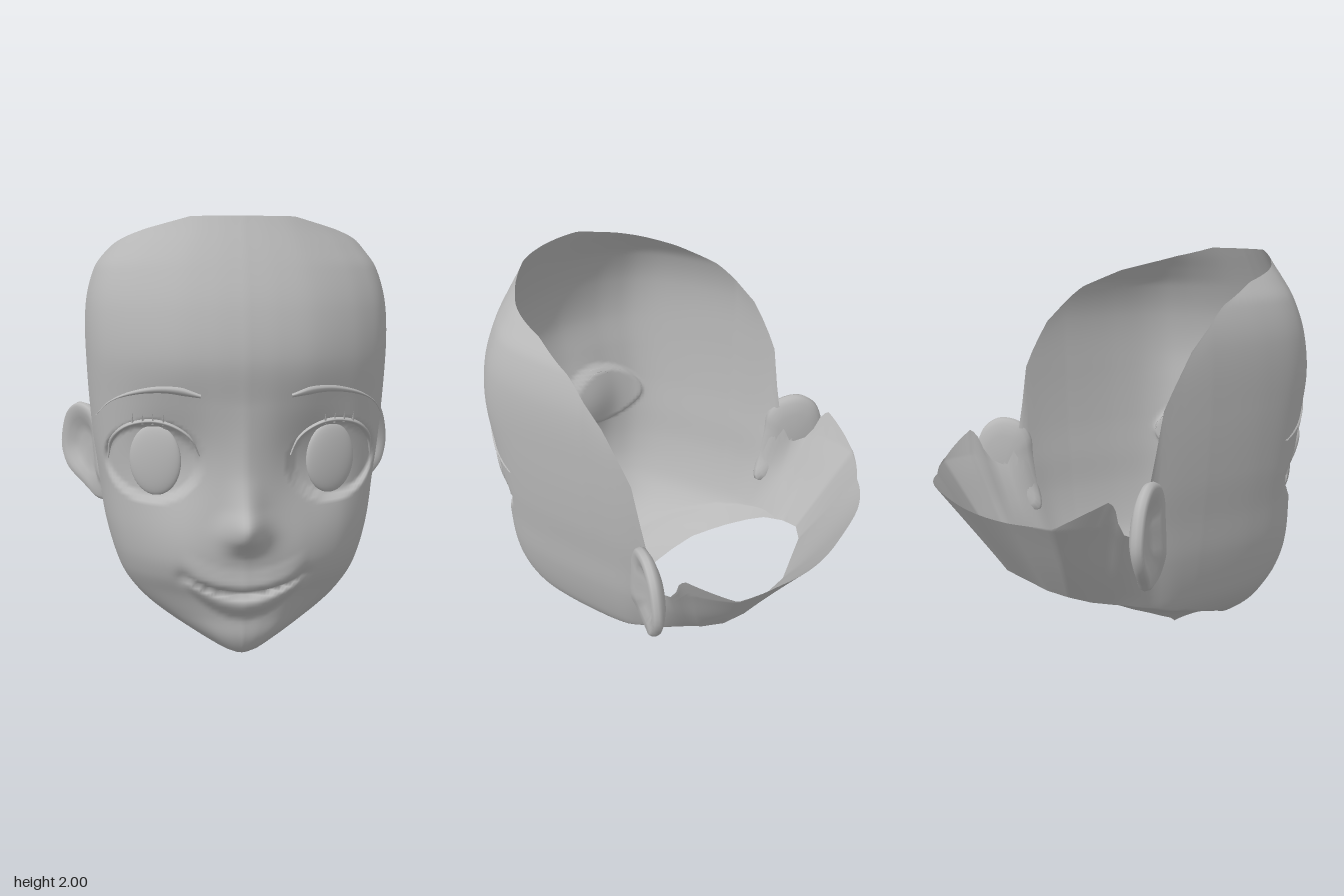
import * as THREE from 'three';

const skin = new THREE.MeshStandardMaterial({ color: 0xb8b8b8, side: THREE.DoubleSide });
skin.name = 'plain grey';

const clamp = (v, a, b) => Math.min(b, Math.max(a, v));
const smooth = (a, b, v) => { const t = clamp((v - a) / (b - a), 0, 1); return t * t * (3 - 2 * t); };
const gauss = (v, s) => Math.exp(-v * v / (2 * s * s));

// Looks up column k of a keyed table, straight or with a cubic curve
function look(table, v, curved = true, k = 1) {
  const n = table.length - 1;
  if (v <= table[0][0]) return table[0][k];
  if (v >= table[n][0]) return table[n][k];
  let i = 0;
  while (v > table[i + 1][0]) i++;
  const h = table[i + 1][0] - table[i][0], t = (v - table[i][0]) / h;
  const a = table[i][k], b = table[i + 1][k];
  if (!curved) return a + (b - a) * t;
  const slope = j => {
    const p = table[Math.max(0, j - 1)], q = table[Math.min(n, j + 1)];
    return (q[k] - p[k]) / (q[0] - p[0]);
  };
  const t2 = t * t, t3 = t2 * t;
  return a * (2 * t3 - 3 * t2 + 1) + b * (3 * t2 - 2 * t3) + h * (slope(i) * (t3 - 2 * t2 + t) + slope(i + 1) * (t3 - t2));
}

// Half width and front depth by height
const width = [[0, .12], [.02, .18], [.1, .325], [.2, .475], [.3, .567], [.4, .614], [.6, .665], [.8, .69], [1, .715],
  [1.3, .735], [1.6, .735], [1.78, .69], [1.87, .625], [1.95, .555], [2, .52]];
const front = [[0, .66], [.03, .7], [.1, .735], [.2, .745], [.3, .775], [.4, .83], [.5, .86], [.7, .87], [1, .875],
  [1.2, .89], [1.4, .915], [1.6, .885], [1.78, .82], [2, .715]];
// Front half of the cross-section, as shares of width and depth, and the same keyed by angle
const section = [[0, 1], [.2, .986], [.41, .945], [.65, .84], [.8, .735], [.87, .66], [.925, .55], [.965, .38], [.985, .22], [1, 0]];
const sectionTurn = section.map(([r, h]) => [Math.atan2(r, h) * 180 / Math.PI, r, h]);
// Feature profiles
const nose = [[.5, 0], [.53, .01], [.57, .045], [.62, .1], [.68, .115], [.75, .065], [.82, .035], [.9, .015], [1.05, .005], [1.2, 0]];
const lips = [[-.14, 0], [-.11, .015], [-.08, .04], [-.04, .045], [-.015, .02], [0, -.03], [.02, .025], [.05, .035], [.08, .02], [.13, 0]];
// Edges by angle from the front, in degrees
const rim = [[0, 2], [25, 2], [45, 1.95], [68, 1.87], [83, 1.78], [86.5, 1.74], [90, 1.69], [91.5, 1.59], [93, 1.5],
  [94.5, 1.42], [96, 1.34], [98.2, 1.03], [100, .88], [104, .78], [108, .82], [111, .95], [113.4, 1], [131, .88],
  [147, .86], [169, .87], [180, .87]];
const jaw = [[0, 0], [33, .012], [56, .1], [70, .2], [90, .3], [98, .36], [104, .4], [113, .42], [132, .44], [180, .45]];
const neck = [[0, 0, .02, .23], [33, .1, .035, .21], [45, .19, .06, .18], [56, .27, .105, .13], [70, .36, .17, .05],
  [80, .41, .22, -.04], [90, .45, .27, -.13], [98, .49, .33, -.25], [104, .5, .38, -.35], [113, .49, .41, -.47],
  [132, .44, .44, -.57], [147, .34, .45, -.63], [180, 0, .45, -.69]];
const backWide = [[90, 1], [98, 1], [113, 1.2], [132, 1.18], [147, .99], [180, .85]];

// Eye sockets, nose, mouth and eye openings
function relief(x, y) {
  x = Math.abs(x);
  let d = -.08 * gauss(x - .31, .13) * gauss(y - .92, .17);
  d -= .04 * smooth(1.06, .92, Math.hypot((x - .41) / .21, (y - .93) / .175));
  d += look(nose, y) * gauss(x, y > .75 ? .05 : .05 + .012 * smooth(.75, .62, y));
  const taper = clamp(1 - (x / .28) ** 2, 0, 1), above = y - .335 - 1.05 * x * x;
  d += look(lips, above < 0 ? above / (.35 + .65 * taper) : above) * taper;
  return d - .015 * gauss(x - .27, .025) * gauss(y - .41, .025);
}
function faceZ(x, y) {
  return look(front, y) * look(section, Math.abs(x) / look(width, y)) + relief(x, y);
}

// A point of the outer wall
function wall(deg, y) {
  const w = look(width, y);
  if (deg <= 90) {
    const x = w * look(sectionTurn, deg);
    return [x, y, look(front, y) * look(sectionTurn, deg, true, 2) + relief(x, y)];
  }
  const a = deg * Math.PI / 180, x = w * look(backWide, deg, false) * Math.sin(a) ** .625;
  return [x, y, -clamp(.68 + .3 * (y - .45) / .42, .6, .98) * Math.abs(Math.cos(a)) ** .625];
}

// Builds a smooth surface from rows of points
function grid(rows, cols, point, wrap, name) {
  const pos = [], idx = [], n = wrap ? cols : cols + 1;
  for (let j = 0; j <= rows; j++) for (let i = 0; i < n; i++) pos.push(...point(i, j));
  for (let j = 0; j < rows; j++) for (let i = 0; i < cols; i++) {
    const a = j * n + i, b = j * n + (i + 1) % n;
    idx.push(a, b, b + n, a, b + n, a + n);
  }
  const g = new THREE.BufferGeometry();
  g.setAttribute('position', new THREE.Float32BufferAttribute(pos, 3));
  g.setIndex(idx);
  g.computeVertexNormals();
  const m = new THREE.Mesh(g, skin);
  m.name = name;
  return m;
}

// Open shell: the first rows run from neck hole to jaw, the rest up to the rim.
// Behind the ears the wall grows straight out of the neck hole.
function headShell() {
  const under = 8, up = 110, cols = 240;
  return grid(under + up, cols, (i, j) => {
    const turn = i * 360 / cols, deg = turn > 180 ? 360 - turn : turn, side = turn > 180 ? -1 : 1;
    const low = look(jaw, deg, deg < 90), high = look(rim, deg, false), pull = smooth(92, 112, deg);
    const hole = [1, 2, 3].map(k => look(neck, deg, false, k)), edge = wall(deg, low);
    const t = Math.min(1, j / under), v = Math.max(0, (j - under) / up);
    const base = wall(deg, low + (high - low) * v);
    const p = base.map((b, k) => {
      const q = b + (hole[k] - edge[k]) * pull * (1 - v);
      return hole[k] * (1 - t) + q * t;
    });
    p[1] += .04 * Math.sin(t * Math.PI) * Math.max(0, Math.cos(deg * Math.PI / 180));
    return [p[0] * side, p[1], p[2]];
  }, true, 'headShell');
}

// Tapered raised strip lying on the face
function strip(side, points, thick, lift, name) {
  const curve = new THREE.CatmullRomCurve3(points.map(p => new THREE.Vector3(p[0], p[1], 0)));
  const n = 28;
  return grid(n, 4, (i, j) => {
    const t = j / n, p = curve.getPoint(t), d = curve.getTangent(t), h = look(thick, t, false);
    const off = (i / 2 - 1) * h, x = p.x - d.y * off, y = p.y + d.x * off;
    return [side * x, y, faceZ(x, y) + (i === 0 || i === 4 ? 0 : lift)];
  }, false, name);
}

// Cupped ear made of loops around its outline
function ear(side) {
  const outline = new THREE.CatmullRomCurve3([[-.24, .95], [-.28, 1.025], [-.37, 1.05], [-.44, 1], [-.48, .9], [-.49, .78],
    [-.45, .67], [-.38, .58], [-.33, .52], [-.28, .51], [-.22, .53], [-.21, .65], [-.23, .85]]
    .map(p => new THREE.Vector3(p[0], p[1], 0)), true);
  const loops = [[0, -.015], [.3, -.015], [.5, -.005], [.65, .02], [.78, .025], [.9, .035], [.97, .025], [1, .005],
    [.97, -.015], [.85, -.03], [.6, -.05], [0, -.05]];
  return grid(loops.length - 1, 48, (i, j) => {
    const p = outline.getPoint(i / 48), [r, off] = loops[j];
    const z = -.35 + (p.x + .35) * r, y = .8 + (p.y - .8) * r;
    const x = .68 + (-.22 - z) * .86 - .06 * smooth(.7, .5, y);
    return [side * (x + off * .76), y, z + off * .65];
  }, true, side > 0 ? 'leftEar' : 'rightEar');
}

function eye(side) {
  const g = new THREE.Group();
  g.name = side > 0 ? 'leftEye' : 'rightEye';
  // Front half of a flattened ball
  const iris = new THREE.Mesh(new THREE.SphereGeometry(1, 24, 20, 0, Math.PI), skin);
  iris.name = 'iris';
  iris.scale.set(.122, .16, .03);
  iris.position.set(side * .393, .935, .698);
  iris.rotation.y = side * .35;
  g.add(iris);
  // Upper lid line with short lashes
  g.add(strip(side, [[.2, .97], [.24, 1.05], [.32, 1.1], [.41, 1.115], [.52, 1.085], [.59, 1.01], [.61, .92]],
    [[0, .003], [.5, .013], [.8, .012], [1, .003]], .022, 'upperLash'));
  for (const x of [.355, .4, .445, .49]) {
    const lash = new THREE.Mesh(new THREE.ConeGeometry(.006, .055, 6), skin);
    lash.name = 'lash';
    lash.position.set(side * x, 1.13, faceZ(x, 1.13) + .015);
    lash.rotation.x = .4;
    g.add(lash);
  }
  return g;
}

export function createModel() {
  const model = new THREE.Group();
  model.name = 'head';
  model.add(headShell());
  for (const side of [1, -1]) {
    model.add(ear(side), eye(side));
    model.add(strip(side, [[.195, 1.24], [.3, 1.262], [.4, 1.26], [.52, 1.23], [.6, 1.185], [.665, 1.11]],
      [[0, .008], [.15, .018], [.4, .014], [.7, .004], [1, .001]], .012, 'eyebrow'));
  }
  // Pocket behind the lips
  const mouth = new THREE.Mesh(new THREE.SphereGeometry(1, 28, 14, 0, Math.PI * 2, 0, Math.PI / 2), skin);
  mouth.name = 'mouthPocket';
  mouth.rotation.x = -Math.PI / 2;
  mouth.scale.set(.26, .33, .11);
  mouth.position.set(0, .345, .64);
  model.add(mouth);
  return model;
}
